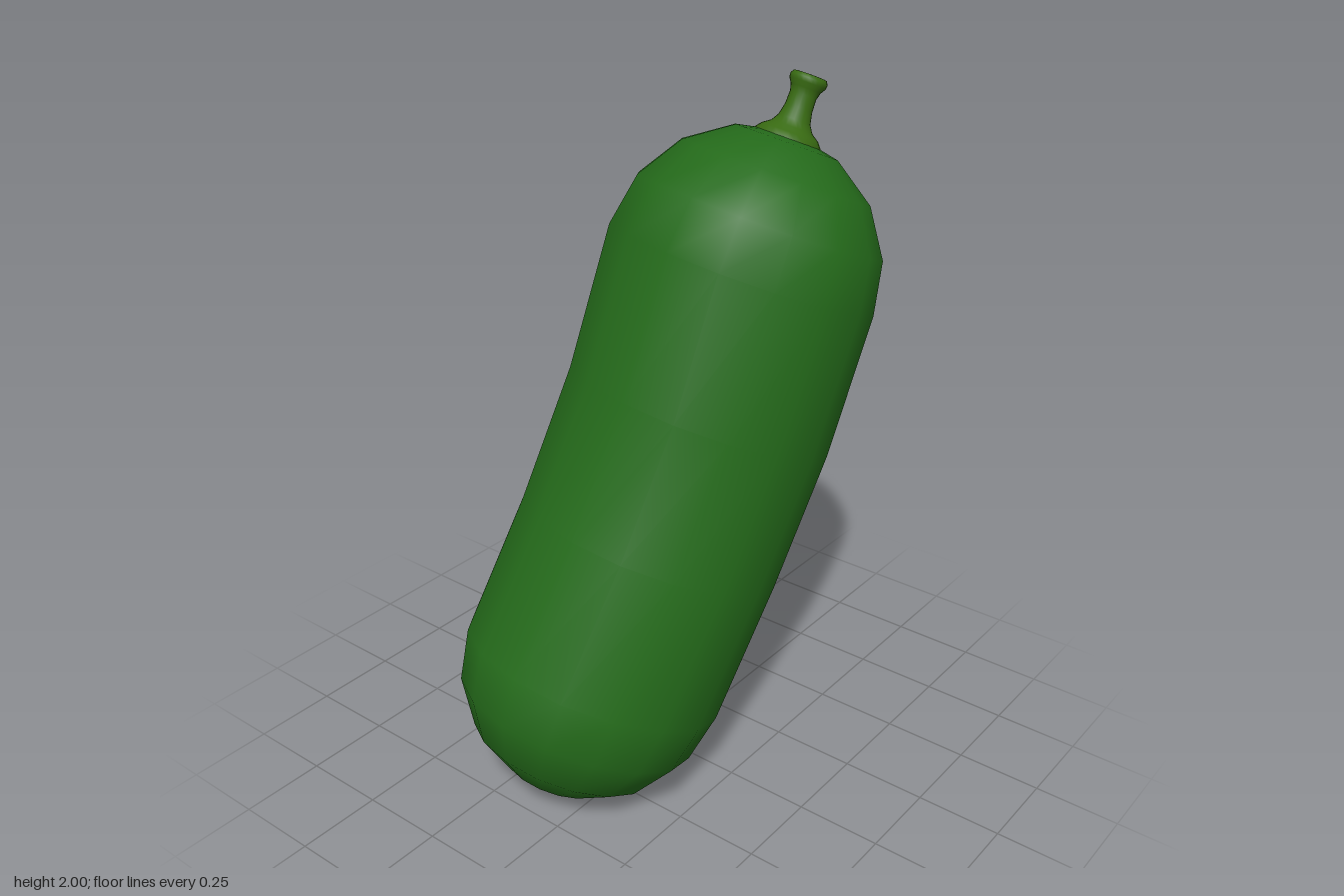
import * as THREE from 'three';

const SIDES = 16;
const CAP_STEPS = 4;
const RADIUS = 0.382;

// Spine of the bent body, with the direction of the axis at each point
const spine = [
  [-0.24, 0.378, -0.075],
  [-0.045, 0.735, -0.025],
  [0.113, 1.1, 0.028],
  [0.234, 1.488, 0.075],
].map((p) => new THREE.Vector3(...p));
const startAxis = new THREE.Vector3(0.405, 0.914, 0.13).normalize();
const endAxis = new THREE.Vector3(0.375, 0.92, 0.125).normalize();

// Capsule swept along the spine: round cap, tube rings, round cap
function bodyGeometry() {
  const rings = [];
  for (let k = 0; k < CAP_STEPS; k++) {
    const a = (k / CAP_STEPS) * Math.PI / 2;
    rings.push({ at: spine[0], axis: startAxis, lift: -RADIUS * Math.cos(a), r: RADIUS * Math.sin(a) });
  }
  spine.forEach((at, i) => {
    const axis = startAxis.clone().lerp(endAxis, i / (spine.length - 1)).normalize();
    rings.push({ at, axis, lift: 0, r: RADIUS });
  });
  for (let k = 1; k <= CAP_STEPS; k++) {
    const a = (k / CAP_STEPS) * Math.PI / 2;
    rings.push({ at: spine[spine.length - 1], axis: endAxis, lift: RADIUS * Math.sin(a), r: RADIUS * Math.cos(a) });
  }

  // The first and last rings shrink to single pole vertices
  const positions = [];
  const starts = [];
  const last = rings.length - 1;
  rings.forEach(({ at, axis, lift, r }, i) => {
    starts.push(positions.length / 3);
    const centre = at.clone().addScaledVector(axis, lift);
    const u = new THREE.Vector3(1, 0, 0).addScaledVector(axis, -axis.x).normalize();
    const v = axis.clone().cross(u);
    const count = i === 0 || i === last ? 1 : SIDES;
    for (let j = 0; j < count; j++) {
      const t = (j / SIDES) * Math.PI * 2;
      const p = centre.clone();
      if (count > 1) p.addScaledVector(u, r * Math.cos(t)).addScaledVector(v, r * Math.sin(t));
      positions.push(p.x, p.y, p.z);
    }
  });

  const index = [];
  for (let i = 0; i < last; i++) {
    for (let j = 0; j < SIDES; j++) {
      const n = (j + 1) % SIDES;
      const a = starts[i] + j, b = starts[i] + n;
      const c = starts[i + 1] + n, d = starts[i + 1] + j;
      if (i === 0) index.push(starts[0], c, d);
      else if (i === last - 1) index.push(a, b, starts[last]);
      else index.push(a, b, c, a, c, d);
    }
  }
  const geometry = new THREE.BufferGeometry();
  geometry.setAttribute('position', new THREE.Float32BufferAttribute(positions, 3));
  geometry.setIndex(index);
  geometry.computeVertexNormals();
  return geometry;
}

// Turned stem: flared foot, narrow neck, small rim with a flat end
function stemGeometry() {
  const profile = [
    [0, -0.02], [0.08, -0.015], [0.094, 0.0], [0.094, 0.016], [0.08, 0.033],
    [0.058, 0.048], [0.045, 0.068], [0.038, 0.1], [0.037, 0.135], [0.042, 0.153],
    [0.051, 0.167], [0.052, 0.179], [0.046, 0.188], [0.04, 0.189], [0, 0.19],
  ].map(([x, y]) => new THREE.Vector2(x, y));
  return new THREE.LatheGeometry(profile, 24);
}

export function createModel() {
  const group = new THREE.Group();
  group.name = 'vegetable';

  const body = new THREE.Mesh(bodyGeometry(), new THREE.MeshStandardMaterial({ color: 0x246a1a }));
  body.name = 'body';
  group.add(body);

  // Stem sits on the upper pole and follows the axis there
  const stem = new THREE.Mesh(stemGeometry(), new THREE.MeshStandardMaterial({ color: 0x386a12 }));
  stem.name = 'stem';
  stem.position.copy(spine[spine.length - 1]).addScaledVector(endAxis, RADIUS - 0.035);
  stem.quaternion.setFromUnitVectors(new THREE.Vector3(0, 1, 0), endAxis);
  group.add(stem);

  return group;
}
